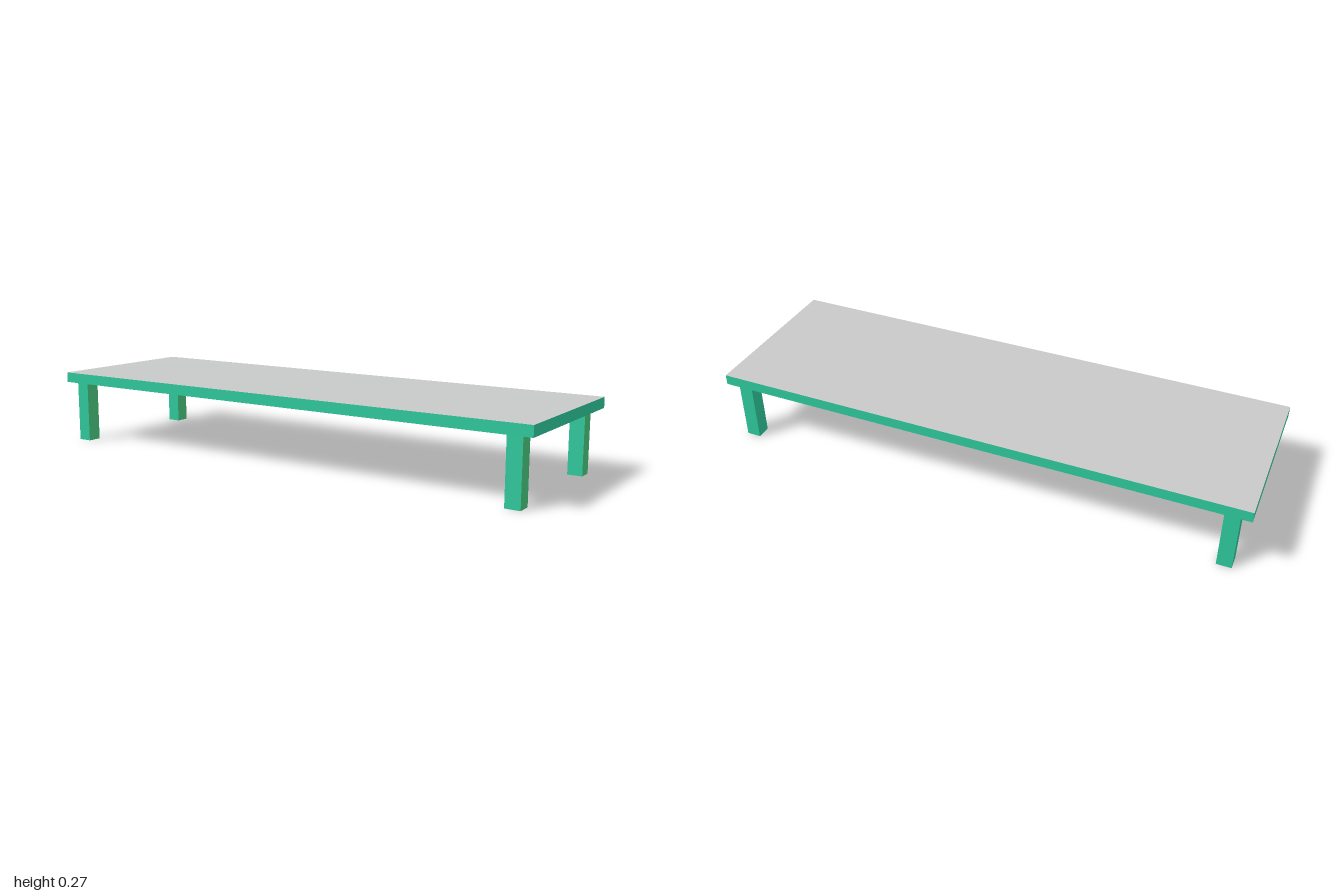
import * as THREE from 'three';

const paint = (name, color) => {
  const m = new THREE.MeshStandardMaterial({ color });
  m.name = name;
  return m;
};

export function createModel() {
  const grey = paint('grey', 0xc8c9c9);
  const teal = paint('teal', 0x2ec99c);
  const green = paint('green', 0x48ca80);

  const model = new THREE.Group();
  model.name = 'lowTable';

  // Box with face materials in the order +x, -x, +y, -y, +z, -z
  const addBox = (name, size, position, materials) => {
    const mesh = new THREE.Mesh(new THREE.BoxGeometry(...size), materials);
    mesh.name = name;
    mesh.position.set(...position);
    model.add(mesh);
  };

  // Table top: grey surfaces with a teal rim
  const legHeight = 0.235, thickness = 0.039;
  addBox('tableTop', [2, thickness, 0.627], [0, legHeight + thickness / 2, 0],
    [teal, teal, grey, grey, teal, teal]);

  // Four square legs, one side of each green
  for (const x of [-1, 1]) {
    for (const z of [-1, 1]) {
      const name = (z > 0 ? 'front' : 'back') + (x > 0 ? 'Left' : 'Right') + 'Leg';
      addBox(name, [0.054, legHeight, 0.054], [x * 0.933, legHeight / 2, z * 0.267],
        [green, teal, grey, grey, teal, teal]);
    }
  }
  return model;
}
